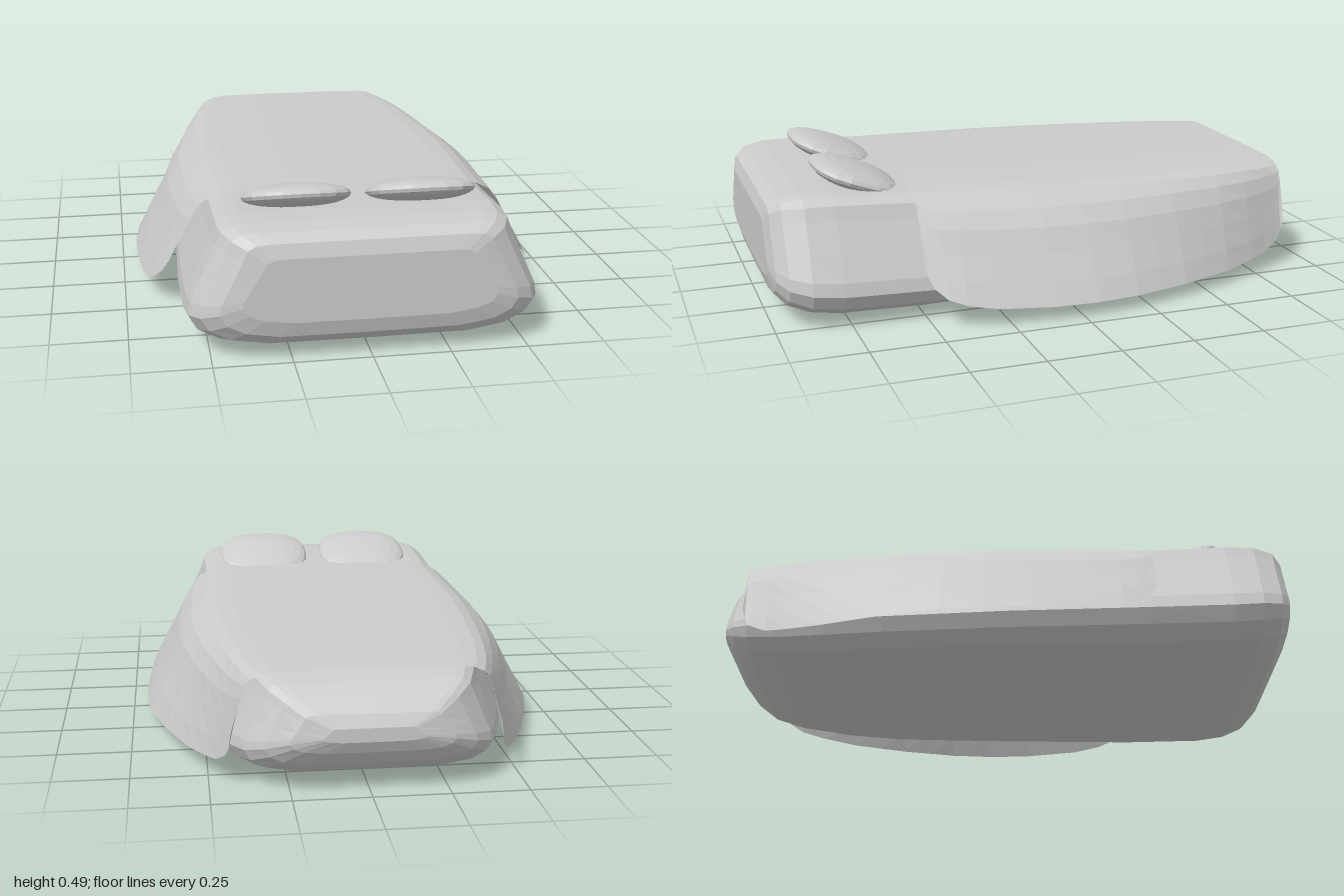
import * as THREE from 'three';

const grey = () => new THREE.MeshStandardMaterial({ color: 0xcccccc, flatShading: true, side: THREE.DoubleSide });

// Skin a list of equally long cross-sections, ordered from +z to -z
function loft(rows) {
  const n = rows[0].length, index = [];
  for (let i = 0; i < rows.length - 1; i++) {
    for (let j = 0; j < n - 1; j++) {
      const a = i * n + j, b = a + n;
      index.push(a, b, a + 1, a + 1, b, b + 1);
    }
  }
  const geo = new THREE.BufferGeometry();
  geo.setAttribute('position', new THREE.Float32BufferAttribute(rows.flat(2), 3));
  geo.setIndex(index);
  geo.computeVertexNormals();
  return geo;
}

// Piecewise linear lookup in [z, value, value...] rows with falling z
function sample(table, z) {
  let i = 0;
  while (i < table.length - 2 && z < table[i + 1][0]) i++;
  const a = table[i], b = table[i + 1];
  const t = (z - a[0]) / (b[0] - a[0]);
  return a.slice(1).map((v, k) => v + (b[k + 1] - v) * t);
}

function mattress() {
  // Half section: fraction of the half width, fraction of the height
  const half = [[0, 0], [0.6, 0.005], [0.83, 0.06], [0.95, 0.15], [1, 0.27], [0.985, 0.38],
    [0.92, 0.58], [0.84, 0.83], [0.81, 0.94], [0.75, 0.99], [0.68, 1], [0, 1]];
  const section = [...half, ...half.slice(0, -1).reverse().map(([x, y]) => [-x, y])];
  // z, half width, bottom, top
  const stations = [
    [1, 0, 0.24, 0.24], [1, 0.4, 0.13, 0.34], [0.985, 0.47, 0.08, 0.385], [0.95, 0.525, 0.045, 0.41],
    [0.88, 0.56, 0.02, 0.42], [0.78, 0.57, 0.006, 0.42], [0.5, 0.57, 0, 0.405], [0, 0.55, 0, 0.39],
    [-0.4, 0.52, 0, 0.375], [-0.6, 0.485, 0.008, 0.365], [-0.78, 0.435, 0.025, 0.355],
    [-0.88, 0.395, 0.05, 0.34], [-0.94, 0.335, 0.09, 0.31], [-0.98, 0.26, 0.14, 0.265],
    [-1, 0.16, 0.18, 0.225], [-1, 0, 0.2, 0.2]];
  return loft(stations.map(([z, w, lo, hi]) => section.map(([x, y]) => [x * w, lo + (hi - lo) * y, z])));
}

function blanket() {
  // z, half width at the hem, hem height, half width at the shoulder
  const plan = [
    [0.52, 0.6, 0.18, 0.455], [0.5, 0.625, 0.135, 0.457], [0.46, 0.65, 0.1, 0.46], [0.4, 0.67, 0.08, 0.463],
    [0.3, 0.685, 0.062, 0.467], [0.1, 0.7, 0.05, 0.475], [-0.05, 0.7, 0.048, 0.475], [-0.2, 0.685, 0.048, 0.468],
    [-0.4, 0.635, 0.048, 0.452], [-0.6, 0.565, 0.05, 0.43], [-0.72, 0.513, 0.06, 0.41],
    [-0.8, 0.475, 0.072, 0.393], [-0.86, 0.448, 0.105, 0.376], [-0.88, 0.437, 0.135, 0.37], [-0.89, 0.432, 0.18, 0.365]];
  const rows = [];
  const extra = [0.2, -0.3, -0.5];
  const zs = [...plan.map((p) => p[0]), ...extra].sort((a, b) => b - a);
  for (const z of zs) {
    const [w, hem, s] = sample(plan, z);
    const top = 0.402 + 0.021 * z;
    const d = w - s;
    // Half section from the hem up to the middle of the top
    const drop = top - hem;
    const side = [[w, hem], [s + 0.84 * d, hem + 0.2 * drop], [s + 0.62 * d, hem + 0.45 * drop],
      [s + 0.44 * d, hem + 0.67 * drop], [s + 0.24 * d, hem + 0.83 * drop], [s, top - 0.022],
      [s * 0.92, top - 0.008], [s * 0.8, top - 0.002], [s * 0.4, top], [0, top]];
    const full = [...side, ...side.slice(0, -1).reverse().map(([x, y]) => [-x, y])];
    rows.push(full.map(([x, y]) => [x, y, z]));
  }
  return loft(rows);
}

// Flattened ball with a rounded-square outline
function pillow() {
  const geo = new THREE.SphereGeometry(1, 20, 12);
  const pos = geo.attributes.position;
  for (let i = 0; i < pos.count; i++) {
    const x = pos.getX(i), y = pos.getY(i), z = pos.getZ(i);
    const r = Math.hypot(x, z) || 1;
    const k = r / Math.pow(Math.abs(x) ** 2.7 + Math.abs(z) ** 2.7 || 1, 1 / 2.7);
    pos.setXYZ(i, x * k * 0.177, y * 0.042, z * k * 0.155);
  }
  geo.computeVertexNormals();
  return geo;
}

export function createModel() {
  const model = new THREE.Group();
  model.name = 'bed';
  const add = (name, geo, x = 0, y = 0, z = 0) => {
    const mesh = new THREE.Mesh(geo, grey());
    mesh.name = name;
    mesh.position.set(x, y, z);
    model.add(mesh);
    return mesh;
  };

  add('mattress', mattress(), -0.005);
  add('blanket', blanket());

  // Two pillows leaning up towards the head end
  for (const [name, x] of [['rightPillow', -0.195], ['leftPillow', 0.215]]) {
    add(name, pillow(), x, 0.43, 0.665).rotation.x = -0.34;
  }
  return model;
}
